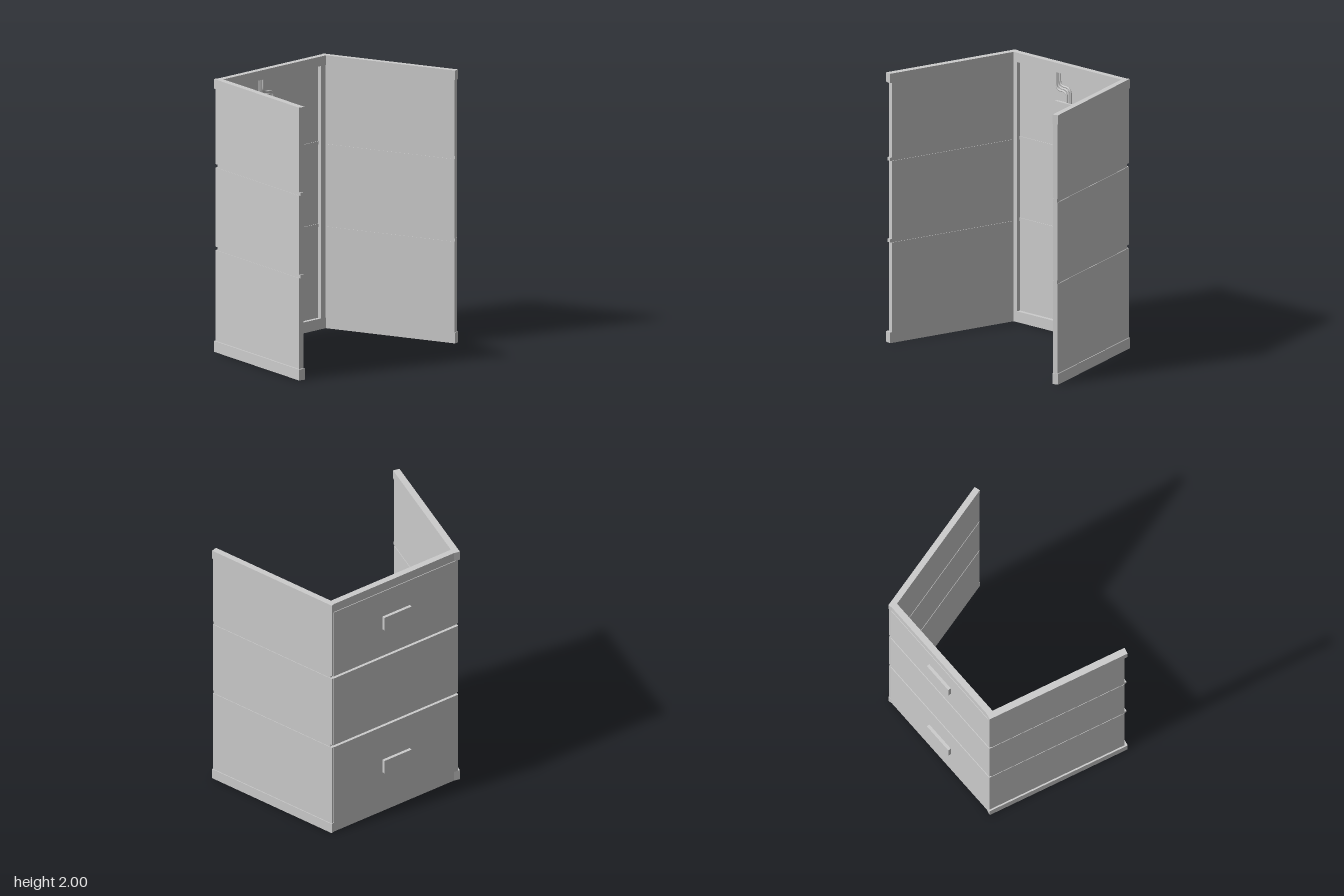
import * as THREE from 'three';

const material = new THREE.MeshStandardMaterial({ color: 0xcccccc });
const BOTTOM = 0.08, TOP = 1.93;
const GROOVES = [[0.745, 0.77], [1.35, 1.375]];
const TIERS = [[BOTTOM, 0.745], [0.77, 1.35], [1.375, TOP]];
const RAILS = [[0, BOTTOM], [TOP, 2]];

// Axis-aligned box from its limits
function block(name, x0, x1, y0, y1, z0, z1) {
  const mesh = new THREE.Mesh(new THREE.BoxGeometry(x1 - x0, y1 - y0, z1 - z0), material);
  mesh.position.set((x0 + x1) / 2, (y0 + y1) / 2, (z0 + z1) / 2);
  mesh.name = name;
  return mesh;
}

// Slanted side wall, built along local z and turned into place
function sideWall(name, back, front, thick, panelInset, endInset) {
  const wall = new THREE.Group();
  wall.name = name;
  const dx = front[0] - back[0], dz = front[1] - back[1];
  const half = Math.hypot(dx, dz) / 2, t = thick / 2;
  const outer = Math.sign(back[0]);
  const span = (inset) => (outer > 0 ? [-t, t - inset] : [-t + inset, t]);
  for (const [y0, y1] of RAILS) wall.add(block('sideRail', -t, t, y0, y1, -half, half));
  for (const [y0, y1] of TIERS) {
    wall.add(block('sidePanel', ...span(panelInset), y0, y1, -half + 0.003, half - endInset));
  }
  for (const [y0, y1] of GROOVES) {
    const [a, b] = span(panelInset);
    wall.add(block('sideJoint', a + 0.003, b - 0.004, y0, y1, -half + 0.022, half - 0.003));
  }
  wall.position.set((back[0] + front[0]) / 2, 0, (back[1] + front[1]) / 2);
  wall.rotation.y = Math.atan2(dx, dz);
  return wall;
}

// Vertical pipe run with rounded sideways steps, shifted by o within the bundle
function pipe(o) {
  const z = -0.505;
  const steps = [[1.81, -0.135, -0.03], [1.445, -0.03, 0.068], [0.575, 0.068, -0.03], [0.275, -0.03, -0.137]];
  const corners = [[-0.135 + o, TOP]];
  for (const [y, from, to] of steps) {
    const yy = y + o * Math.sign(to - from);
    corners.push([from + o, yy], [to + o, yy]);
  }
  corners.push([-0.137 + o, BOTTOM]);
  const points = corners.map(([x, y]) => new THREE.Vector3(x, y, z));
  const path = new THREE.CurvePath();
  let last = points[0];
  for (let i = 1; i < points.length - 1; i++) {
    const p = points[i];
    const toward = (q) => p.clone().add(q.clone().sub(p).setLength(0.045));
    const a = toward(points[i - 1]), b = toward(points[i + 1]);
    path.add(new THREE.LineCurve3(last, a));
    path.add(new THREE.QuadraticBezierCurve3(a, p, b));
    last = b;
  }
  path.add(new THREE.LineCurve3(last, points[points.length - 1]));
  const mesh = new THREE.Mesh(new THREE.TubeGeometry(path, 160, 0.0075, 8, false), material);
  mesh.name = 'pipe';
  return mesh;
}

export function createModel() {
  const model = new THREE.Group();
  model.name = 'threeSidedEnclosure';

  // Back wall: rails, corner posts, three panels and the recessed joints
  const back = new THREE.Group();
  back.name = 'backWall';
  for (const [y0, y1] of RAILS) back.add(block('backRail', -0.575, 0.515, y0, y1, -0.527, -0.48));
  for (const [y0, y1] of TIERS) back.add(block('backPanel', -0.575, 0.52, y0, y1, -0.532, -0.51));
  for (const [y0, y1] of GROOVES) back.add(block('backJoint', -0.565, 0.51, y0, y1, -0.511, -0.505));
  back.add(block('cornerPost', -0.565, -0.52, BOTTOM, TOP, -0.511, -0.48));
  back.add(block('cornerPost', 0.46, 0.505, BOTTOM, TOP, -0.511, -0.48));
  model.add(back);

  // Splayed side walls
  model.add(sideWall('rightWall', [-0.565, -0.532], [-0.815, 0.545], 0.05, 0.012, 0.018));
  model.add(sideWall('leftWall', [0.52, -0.529], [0.813, 0.522], 0.045, 0.006, 0.004));

  // Pipe bundle with the boxes that clasp it through the back wall
  const pipes = new THREE.Group();
  pipes.name = 'pipeBundle';
  for (const o of [-0.018, 0, 0.018]) pipes.add(pipe(o));
  model.add(pipes);
  for (const y of [0.4, 1.658]) {
    model.add(block('junctionBox', -0.15, 0.09, y - 0.056, y + 0.056, -0.555, -0.484));
  }
  return model;
}
